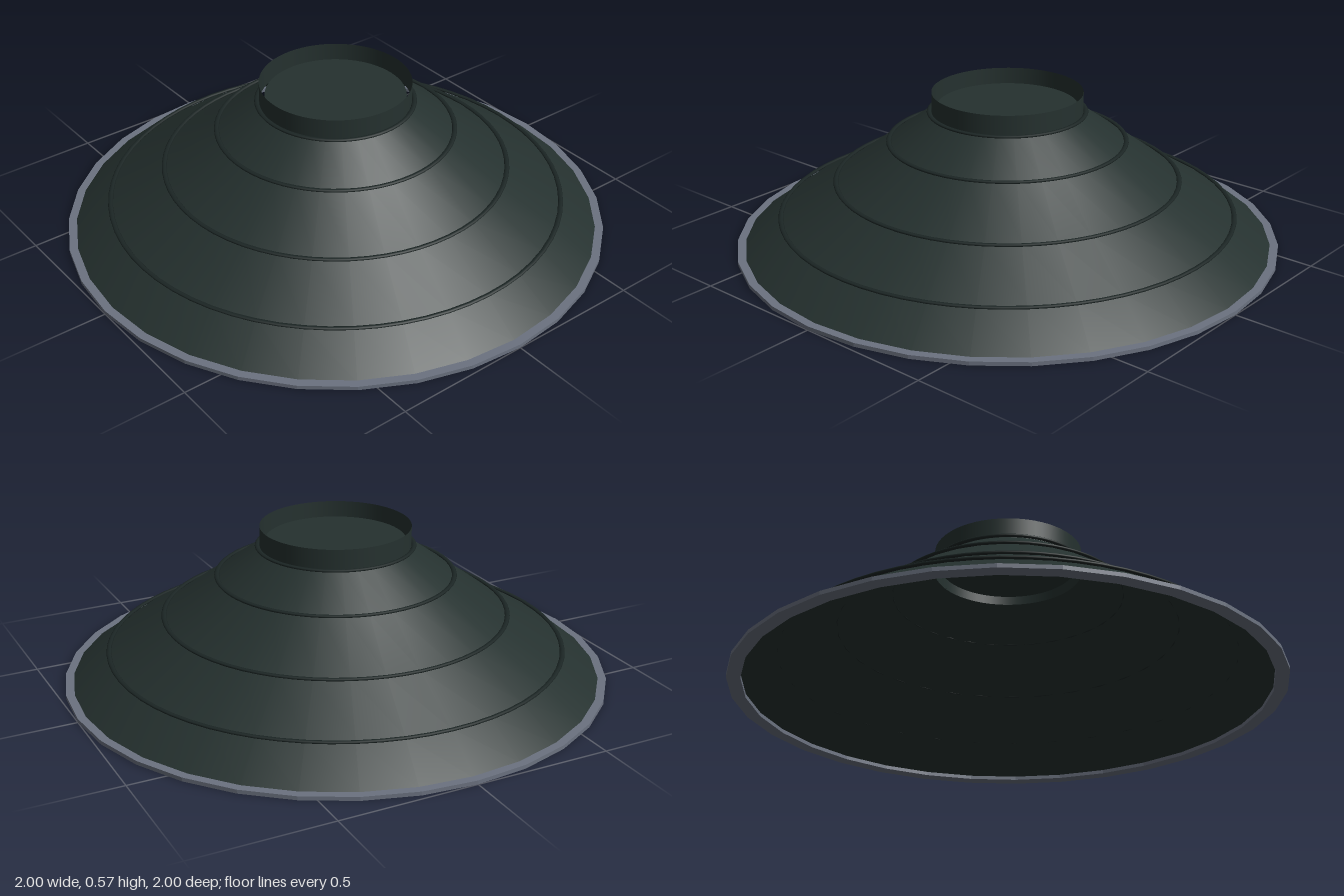
import * as THREE from 'three';

export function createModel() {
  const group = new THREE.Group();
  group.name = 'lampShade';

  const shadeMat = new THREE.MeshStandardMaterial({ color: 0x25312f, side: THREE.DoubleSide });
  shadeMat.name = 'dark green enamel';
  const beadMat = new THREE.MeshStandardMaterial({ color: 0x1b2524 });
  beadMat.name = 'darker bead';
  const rimMat = new THREE.MeshStandardMaterial({ color: 0x6b7280 });
  rimMat.name = 'grey rim';

  const add = (name, geometry, material, y = 0) => {
    const mesh = new THREE.Mesh(geometry, material);
    mesh.name = name;
    mesh.position.y = y;
    group.add(mesh);
    return mesh;
  };

  // Open, slightly stepped cone
  const profile = [[0.975, 0.01], [0.825, 0.12], [0.62, 0.245], [0.425, 0.387], [0.276, 0.493]]
    .map(([r, y]) => new THREE.Vector2(r, y));
  add('shade', new THREE.LatheGeometry(profile, 32), shadeMat);

  // Open collar on top, with a loose disc inside it
  add('collar', new THREE.CylinderGeometry(0.275, 0.275, 0.08, 64, 1, true), shadeMat, 0.53);
  const disc = new THREE.CircleGeometry(0.256, 64).rotateX(-Math.PI / 2);
  add('collarDisc', disc, shadeMat, 0.515);

  // Thin raised beads around the cone
  for (const [r, y] of [[0.835, 0.12], [0.63, 0.245], [0.433, 0.388], [0.284, 0.496]]) {
    const bead = new THREE.TorusGeometry(r, 0.009, 8, 64).rotateX(Math.PI / 2).scale(1, 0.55, 1);
    add('bead', bead, beadMat, y);
  }

  // Flat faceted rim at the bottom edge
  const ring = new THREE.Shape().absarc(0, 0, 1, 0, Math.PI * 2);
  ring.holes.push(new THREE.Path().absarc(0, 0, 0.95, 0, Math.PI * 2, true));
  const rim = new THREE.ExtrudeGeometry(ring, { depth: 0.014, bevelEnabled: false, curveSegments: 16 });
  add('rim', rim.rotateX(-Math.PI / 2), rimMat);

  return group;
}
